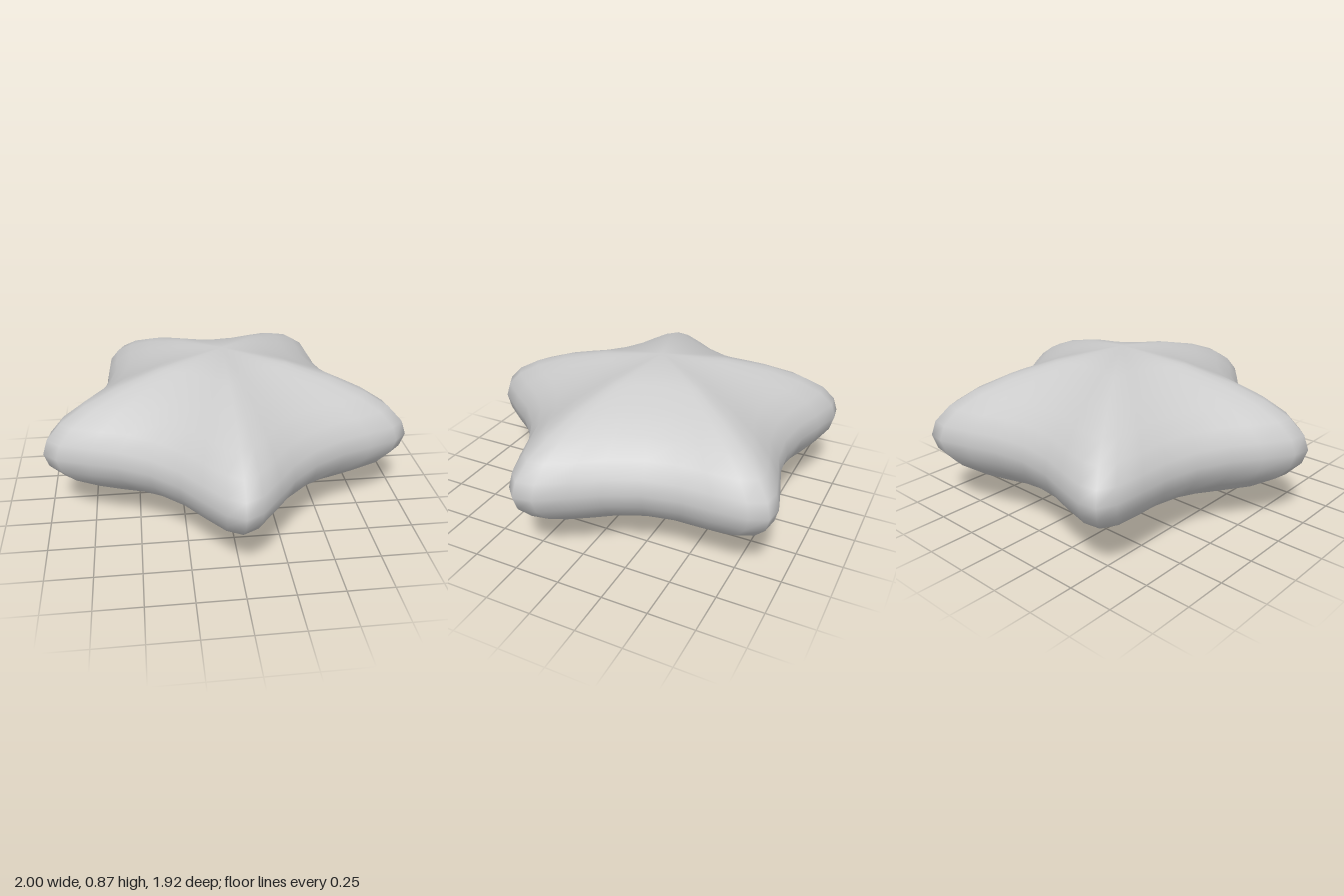
import * as THREE from 'three';

// Half of one arm seen from above: [degrees from the tip, radius]
const ARM = [[0, 1.051], [5, 1.008], [12.8, 0.89], [21.8, 0.793], [36, 0.746]];
// Profile from the rim to the apex: [share of radius, share of half height]
const PROFILE = [[1, 0], [0.975, 0.18], [0.9, 0.365], [0.775, 0.535], [0.595, 0.7], [0.35, 0.86]];
const HALF_HEIGHT = 0.436;
const CENTRE_Z = -0.093;

// Closed outline of the five arms, the first arm pointing to +z
function starOutline() {
  const half = ARM.slice(1);
  const lobe = [...ARM, ...half.slice(0, -1).reverse().map(([a, r]) => [72 - a, r])];
  const points = [];
  for (let arm = 0; arm < 5; arm++) {
    for (const [deg, r] of lobe) {
      const a = THREE.MathUtils.degToRad(deg + arm * 72);
      points.push([Math.sin(a) * r, Math.cos(a) * r]);
    }
  }
  return points;
}

function starGeometry() {
  const outline = starOutline();
  const n = outline.length;
  // Rings from the underside, over the rim, to the top
  const rings = [
    ...PROFILE.slice(1).reverse().map(([s, h]) => [s, -h]),
    ...PROFILE,
  ];
  const positions = [];
  const index = [];
  for (const [s, h] of rings) {
    for (const [x, z] of outline) positions.push(x * s, h * HALF_HEIGHT, z * s);
  }
  const bottom = positions.length / 3;
  const top = bottom + 1;
  positions.push(0, -HALF_HEIGHT, 0, 0, HALF_HEIGHT, 0);

  const last = (rings.length - 1) * n;
  for (let i = 0; i < n; i++) {
    const j = (i + 1) % n;
    for (let k = 0; k < rings.length - 1; k++) {
      const a = k * n + i, b = k * n + j;
      index.push(a, b, b + n, a, b + n, a + n);
    }
    index.push(bottom, j, i, top, last + i, last + j);
  }
  const geometry = new THREE.BufferGeometry();
  geometry.setAttribute('position', new THREE.Float32BufferAttribute(positions, 3));
  geometry.setIndex(index);
  geometry.computeVertexNormals();
  return geometry;
}

export function createModel() {
  const group = new THREE.Group();
  group.name = 'puffyStar';
  const star = new THREE.Mesh(starGeometry(), new THREE.MeshStandardMaterial({ color: 0xcccccc }));
  star.name = 'starBody';
  star.position.set(0, HALF_HEIGHT, CENTRE_Z);
  group.add(star);
  return group;
}
